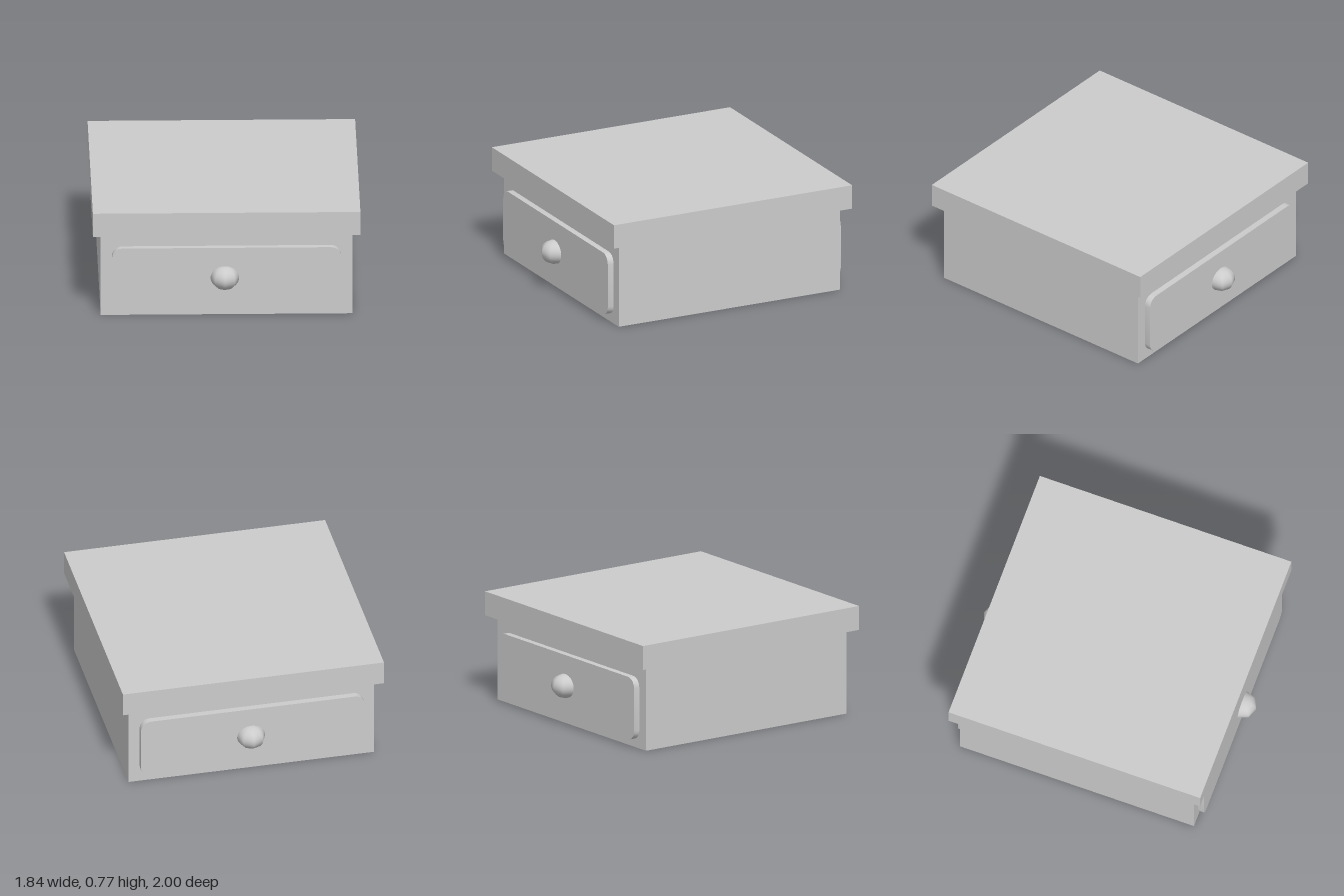
import * as THREE from 'three';
import { toCreasedNormals } from 'three/addons/utils/BufferGeometryUtils.js';

const material = new THREE.MeshStandardMaterial({ color: 0xcccccc, side: THREE.DoubleSide });

const LID = { half: 0.92, bottom: 0.596, top: 0.766 };
const BODY = { x: 0.865, z: 0.855 };
const PANEL = { x: 0.788, y0: 0.058, y1: 0.502, r: 0.07, z: 0.9 };

function addMesh(parent, name, geometry, x = 0, y = 0, z = 0) {
  const mesh = new THREE.Mesh(geometry, material);
  mesh.name = name;
  mesh.position.set(x, y, z);
  parent.add(mesh);
  return mesh;
}

// Counter-clockwise outline of the drawer panel with rounded corners
function panelOutline(steps = 5) {
  const { x, y0, y1, r } = PANEL;
  const centres = [[x - r, y0 + r], [r - x, y0 + r], [r - x, y1 - r], [x - r, y1 - r]];
  const points = [];
  // corners in order: lower right, upper right, upper left, lower left
  [0, 3, 2, 1].forEach((c, i) => {
    for (let s = 0; s <= steps; s++) {
      const a = (i - 1 + s / steps) * Math.PI / 2;
      points.push(new THREE.Vector2(centres[c][0] + r * Math.cos(a), centres[c][1] + r * Math.sin(a)));
    }
  });
  return points;
}

// Band that joins the wall opening to the raised panel face
function bandGeometry(outline, z0, z1) {
  const positions = [], index = [], n = outline.length;
  outline.forEach(p => positions.push(p.x, p.y, z0, p.x, p.y, z1));
  for (let i = 0; i < n; i++) {
    const a = 2 * i, b = 2 * ((i + 1) % n);
    index.push(a, b, b + 1, a, b + 1, a + 1);
  }
  const geometry = new THREE.BufferGeometry();
  geometry.setAttribute('position', new THREE.Float32BufferAttribute(positions, 3));
  geometry.setIndex(index);
  return toCreasedNormals(geometry, 0.6);
}

// Wall with an opening, raised hollow drawer panel and half-round knob
function drawerSide(name) {
  const side = new THREE.Group();
  side.name = name;
  const outline = panelOutline();

  const wall = new THREE.Shape([
    new THREE.Vector2(-BODY.x, 0), new THREE.Vector2(BODY.x, 0),
    new THREE.Vector2(BODY.x, LID.bottom), new THREE.Vector2(-BODY.x, LID.bottom),
  ]);
  wall.holes.push(new THREE.Path(outline));
  addMesh(side, 'drawerWall', new THREE.ShapeGeometry(wall), 0, 0, BODY.z);
  addMesh(side, 'drawerPanelEdge', bandGeometry(outline, BODY.z, PANEL.z));
  addMesh(side, 'drawerPanelFace', new THREE.ShapeGeometry(new THREE.Shape(outline)), 0, 0, PANEL.z);

  const knob = new THREE.SphereGeometry(1, 4, 24, 0, Math.PI);
  knob.scale(0.098, 0.083, 0.1);
  addMesh(side, 'drawerKnob', knob, -0.012, 0.284, PANEL.z);
  return side;
}

export function createModel() {
  const model = new THREE.Group();
  model.name = 'drawerTable';

  // Overhanging top slab
  const height = LID.top - LID.bottom;
  addMesh(model, 'topSlab', new THREE.BoxGeometry(2 * LID.half, height, 2 * LID.half), 0, LID.bottom + height / 2, 0);

  // Thin side walls, open underneath
  for (const s of [1, -1]) {
    const wall = addMesh(model, s > 0 ? 'leftWall' : 'rightWall',
      new THREE.PlaneGeometry(2 * BODY.z, LID.bottom), s * BODY.x, LID.bottom / 2, 0);
    wall.rotation.y = s * Math.PI / 2;
  }

  // Matching drawer fronts on both ends
  const back = drawerSide('backDrawer');
  back.rotation.y = Math.PI;
  model.add(drawerSide('frontDrawer'), back);
  return model;
}
